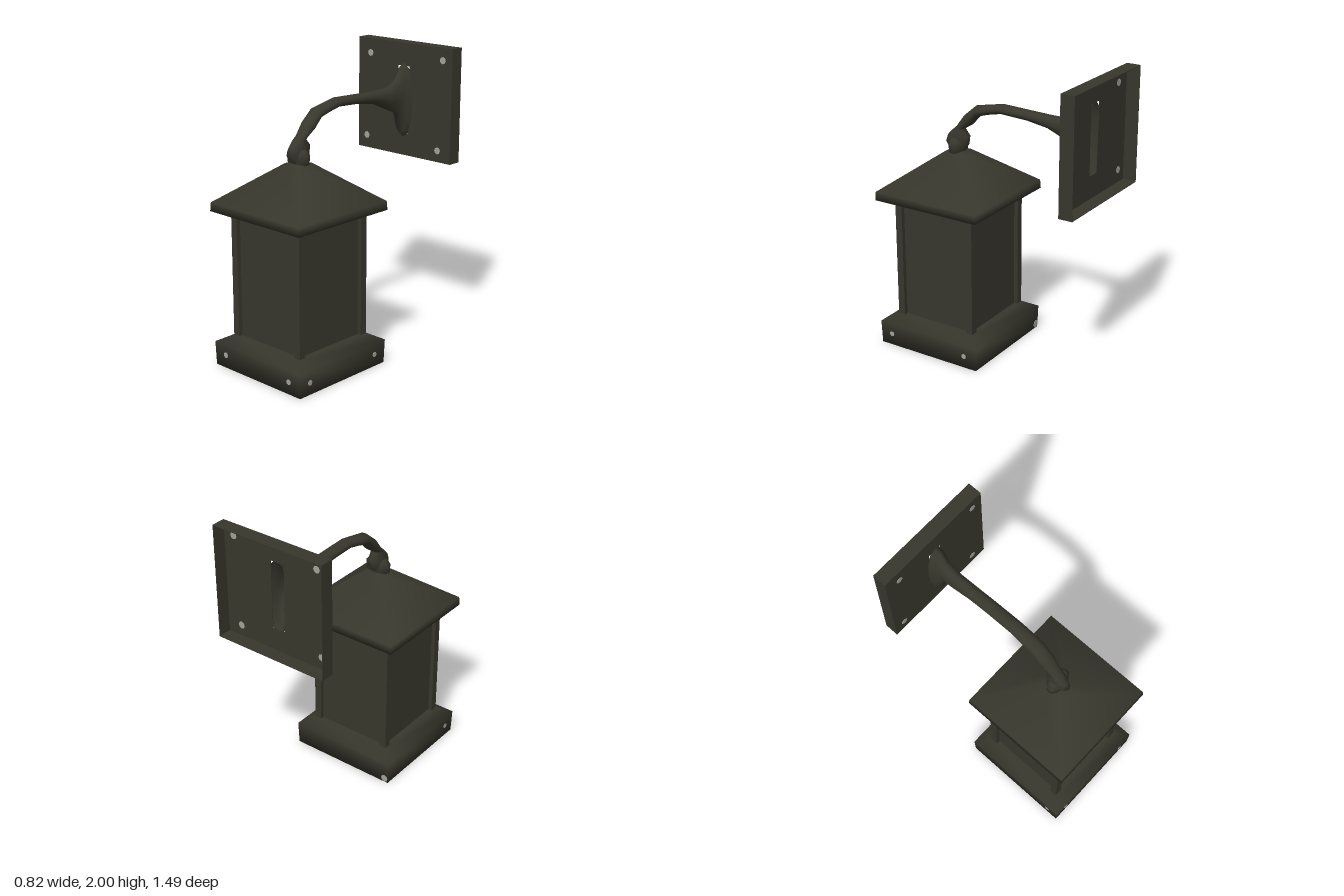
import * as THREE from 'three';

const iron = new THREE.MeshStandardMaterial({ color: 0x38372d, side: THREE.DoubleSide });
iron.name = 'dark iron';
const steel = new THREE.MeshStandardMaterial({ color: 0xa3a39e });
steel.name = 'pale steel';

const LZ = 0.348; // centre of the lantern in z

function add(parent, name, geometry, material, x = 0, y = 0, z = 0) {
  const m = new THREE.Mesh(geometry, material);
  m.name = name;
  m.position.set(x, y, z);
  parent.add(m);
  return m;
}

const points = (pairs) => pairs.map(([x, y]) => new THREE.Vector2(x, y));
const rectangle = (w, h) => points([[-w, -h], [w, -h], [w, h], [-w, h]]);

// softly shaded square form from [halfWidth, y] pairs
function squareProfile(pairs) {
  return new THREE.LatheGeometry(points(pairs.map(([h, y]) => [h * Math.SQRT2, y])), 4, Math.PI / 4);
}

// flat plate with one opening
function openPlate(outline, hole, depth) {
  const shape = new THREE.Shape(outline);
  shape.holes.push(new THREE.Path(hole));
  return new THREE.ExtrudeGeometry(shape, { depth, bevelEnabled: false });
}

// elliptical tube: each section is [upperZ, upperY, lowerZ, lowerY, halfWidth]
function ellipseTube(sections, sides) {
  const pos = [], index = [];
  for (const [uz, uy, lz, ly, w] of sections) {
    for (let i = 0; i < sides; i++) {
      const a = (i / sides) * Math.PI * 2, c = Math.cos(a) / 2;
      pos.push(Math.sin(a) * w, (uy + ly) / 2 + c * (uy - ly), (uz + lz) / 2 + c * (uz - lz));
    }
  }
  for (let s = 0; s < sections.length - 1; s++) {
    for (let i = 0; i < sides; i++) {
      const j = (i + 1) % sides, a = s * sides + i, b = s * sides + j;
      index.push(a, b, a + sides, b, b + sides, a + sides);
    }
  }
  const g = new THREE.BufferGeometry();
  g.setAttribute('position', new THREE.Float32BufferAttribute(pos, 3));
  g.setIndex(index);
  g.computeVertexNormals();
  return g;
}

export function createModel() {
  const model = new THREE.Group();
  model.name = 'wallLantern';

  // lantern body
  const lantern = new THREE.Group();
  lantern.name = 'lantern';
  lantern.position.z = LZ;
  model.add(lantern);
  add(lantern, 'base', squareProfile([[0, 0.005], [0.386, 0.005], [0.391, 0.165], [0.305, 0.212], [0, 0.212]]), iron);
  add(lantern, 'panels', new THREE.BoxGeometry(0.55, 0.86, 0.55), iron, 0, 0.63, 0);
  add(lantern, 'topRail', new THREE.BoxGeometry(0.59, 0.04, 0.59), iron, 0, 1.035, 0);
  for (const x of [-1, 1]) for (const z of [-1, 1]) {
    add(lantern, 'cornerPost', new THREE.BoxGeometry(0.05, 0.86, 0.05), iron, x * 0.278, 0.63, z * 0.278);
  }
  add(lantern, 'roof', squareProfile([[0, 1.05], [0.396, 1.05], [0.392, 1.108], [0.06, 1.36], [0, 1.375]]), iron);

  // flattened collar at the roof peak
  const collar = new THREE.LatheGeometry(points([[0.05, 1.34], [0.085, 1.36], [0.09, 1.42], [0.06, 1.45], [0, 1.455]]), 10);
  collar.scale(1, 1, 0.6);
  add(lantern, 'collar', collar, iron);

  // rivets around the base: [x, y, z, turn, radius]
  for (const [x, y, z, turn, r] of [
    [-0.29, 0.095, 0.388, 0, 0.019], [0.29, 0.09, 0.388, 0, 0.019],
    [0.388, 0.088, 0.302, Math.PI / 2, 0.018], [0.388, 0.088, -0.292, Math.PI / 2, 0.018],
    [-0.388, 0.088, 0.302, Math.PI / 2, 0.018], [-0.36, 0.036, -0.386, 0, 0.026],
  ]) {
    const rivet = add(lantern, 'rivet', new THREE.CylinderGeometry(r, r, 0.008, 8), steel, x, y, z);
    rivet.rotation.set(Math.PI / 2, 0, -turn);
  }

  // curved arm with a knuckle at the lantern, flaring into the wall plate
  add(model, 'arm', ellipseTube([
    [0.38, 1.345, 0.32, 1.345, 0.045],
    [0.44, 1.415, 0.265, 1.41, 0.05],
    [0.425, 1.46, 0.257, 1.467, 0.048],
    [0.385, 1.5, 0.295, 1.51, 0.042],
    [0.35, 1.53, 0.28, 1.525, 0.042],
    [0.287, 1.615, 0.232, 1.555, 0.052],
    [0.2, 1.688, 0.175, 1.62, 0.052],
    [0.1, 1.708, 0.09, 1.645, 0.05],
    [0.01, 1.727, 0, 1.665, 0.047],
    [-0.19, 1.72, -0.19, 1.655, 0.046],
    [-0.34, 1.716, -0.34, 1.63, 0.046],
    [-0.48, 1.72, -0.48, 1.57, 0.046],
    [-0.575, 1.77, -0.575, 1.53, 0.048],
    [-0.62, 1.85, -0.62, 1.385, 0.06],
    [-0.658, 1.865, -0.658, 1.355, 0.08],
  ], 12), iron);

  // hollow wall plate: a front sheet open into the arm, and a thin rim
  const slot = points([[-0.045, -0.23], [-0.055, 0.23], [0.045, 0.23], [0.045, -0.23]]);
  add(model, 'wallPlate', openPlate(rectangle(0.408, 0.385), slot, 0.004), iron, 0, 1.615, -0.659);
  add(model, 'wallPlateRim', openPlate(rectangle(0.408, 0.385), rectangle(0.404, 0.381), 0.091), iron, 0, 1.615, -0.75);

  // screws through the plate
  for (const [x, y] of [[-0.3, 1.9], [0.33, 1.917], [-0.33, 1.318], [0.3, 1.308]]) {
    const screw = add(model, 'screw', new THREE.CylinderGeometry(0.024, 0.024, 0.009, 8), steel, x, y, -0.657);
    screw.rotation.x = Math.PI / 2;
  }
  return model;
}
